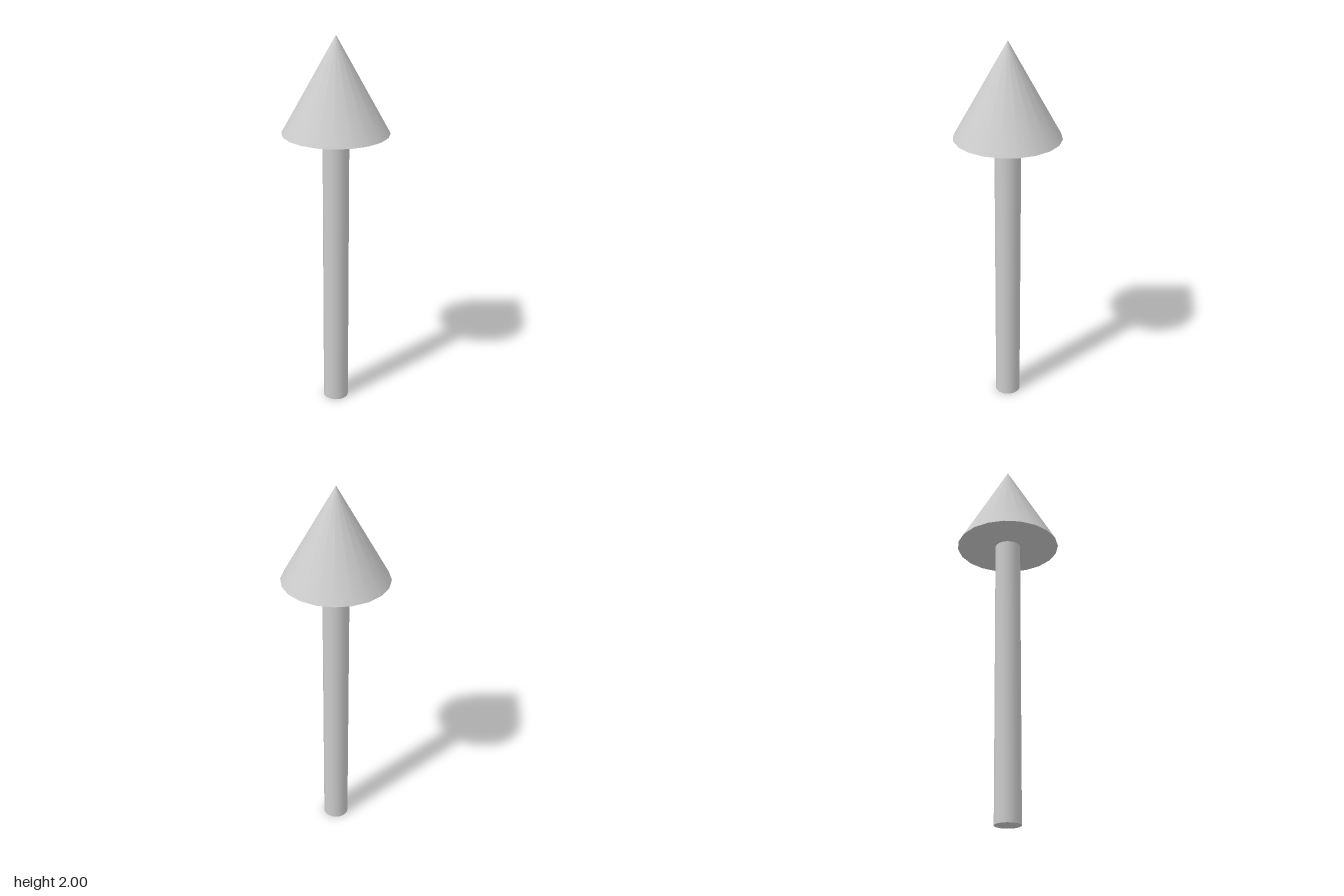
import * as THREE from 'three';

const SIDES = 20;
const HEIGHT = 2;
const HEAD_BASE = 1.515;

export function createModel() {
  const group = new THREE.Group();
  group.name = 'arrow';
  const material = new THREE.MeshStandardMaterial({ color: 0xcccccc });

  function addPart(name, geometry, y) {
    const mesh = new THREE.Mesh(geometry, material);
    mesh.name = name;
    mesh.position.y = y;
    group.add(mesh);
  }

  // Straight round shaft, closed at the foot
  addPart('shaft', new THREE.CylinderGeometry(0.067, 0.067, HEAD_BASE, SIDES), HEAD_BASE / 2);

  // Pointed head with a flat underside
  const headHeight = HEIGHT - HEAD_BASE;
  addPart('head', new THREE.ConeGeometry(0.272, headHeight, SIDES), HEAD_BASE + headHeight / 2);

  return group;
}
